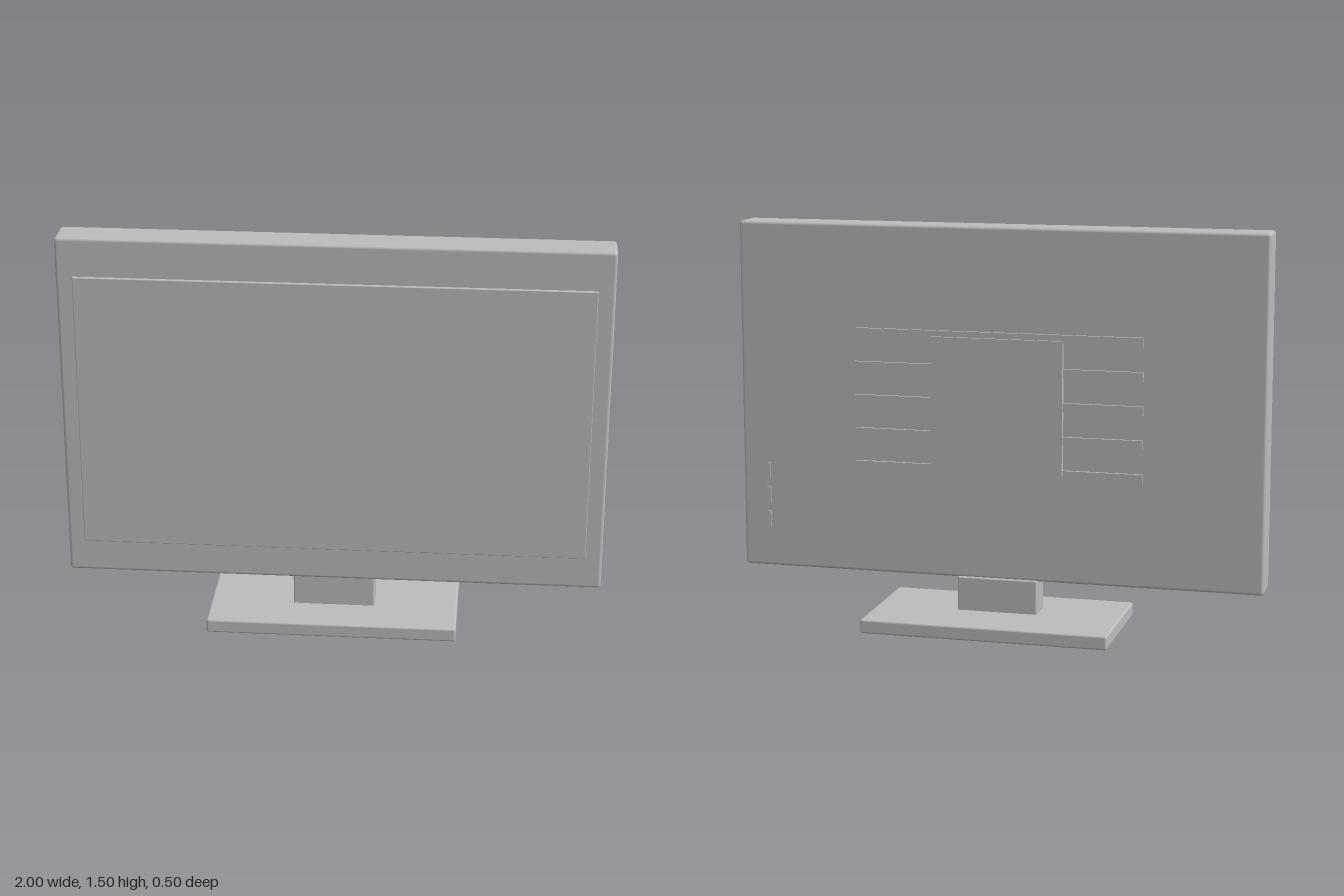
import * as THREE from 'three';
import { RoundedBoxGeometry } from 'three/addons/geometries/RoundedBoxGeometry.js';

export function createModel() {
  const model = new THREE.Group();
  model.name = 'monitor';
  const grey = new THREE.MeshStandardMaterial({ color: 0xbcbcbc });
  grey.name = 'grey plastic';

  // Box between two corners; a radius above zero softens its edges
  function block(name, [x0, y0, z0], [x1, y1, z1], radius = 0) {
    const size = [x1 - x0, y1 - y0, z1 - z0];
    const geometry = radius
      ? new RoundedBoxGeometry(...size, 2, radius)
      : new THREE.BoxGeometry(...size);
    const mesh = new THREE.Mesh(geometry, grey);
    mesh.name = name;
    mesh.position.set((x0 + x1) / 2, (y0 + y1) / 2, (z0 + z1) / 2);
    model.add(mesh);
  }

  // Stand
  block('base', [-0.467, 0, -0.25], [0.467, 0.053, 0.25], 0.008);
  block('neck', [-0.153, 0.045, -0.023], [0.153, 0.182, 0.088], 0.006);

  // Display housing and raised screen
  block('housing', [-1, 0.178, -0.016], [1, 1.5, 0.118], 0.012);
  block('screen', [-0.938, 0.305, 0.105], [0.938, 1.355, 0.13], 0.003);

  // Mounting plate on the back
  block('mountingPlate', [-0.25, 0.59, -0.037], [0.25, 1.09, -0.012]);

  // Five horizontal vent ribs
  for (let i = 0; i < 5; i++) {
    const y = 0.591 + i * 0.126;
    block('ventRib', [-0.548, y - 0.017, -0.027], [0.548, y + 0.017, -0.01]);
  }

  // Three small ports on the left of the back
  for (let i = 0; i < 3; i++) {
    const y = 0.363 + i * 0.094;
    block('port', [0.891, y - 0.029, -0.023], [0.907, y + 0.029, -0.01]);
  }

  return model;
}
